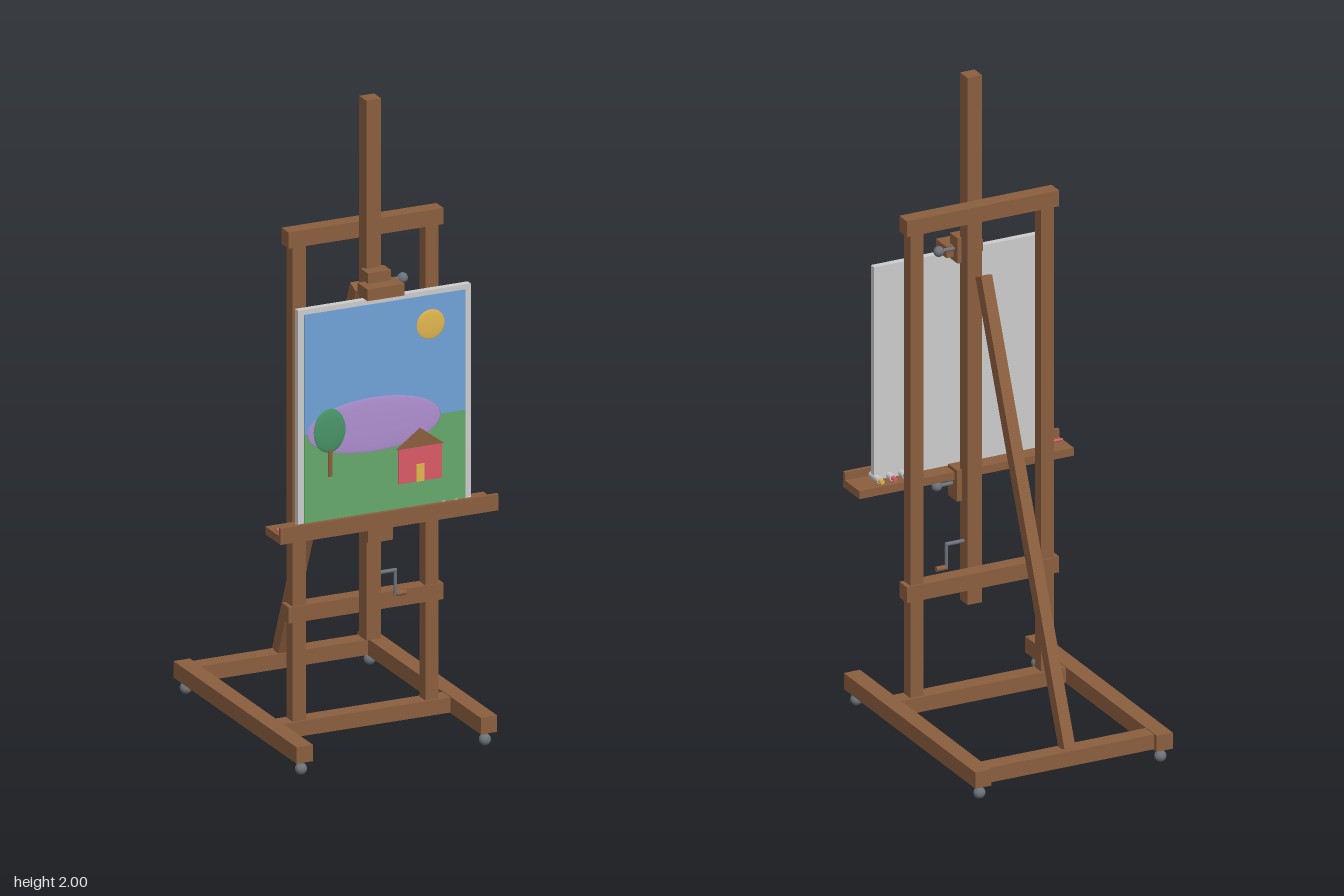
import * as THREE from 'three';

const mat = (color) => new THREE.MeshStandardMaterial({ color });
const wood = mat(0x8b5e3f), metal = mat(0x6c7179), grey = mat(0xcccccc);
const sky = mat(0x70a2d8), grass = mat(0x66a86c), purple = mat(0xae8fd0), leaf = mat(0x489468);
const yellow = mat(0xe0b64f), red = mat(0xd95b66), blue = mat(0x4a90d0);

export function createModel() {
  const model = new THREE.Group();

  const add = (name, geometry, material, x = 0, y = 0, z = 0) => {
    const mesh = new THREE.Mesh(geometry, material);
    mesh.name = name;
    mesh.position.set(x, y, z);
    model.add(mesh);
    return mesh;
  };
  // Box given by its lower and upper limits on each axis
  const box = (name, material, x0, x1, y0, y1, z0, z1) =>
    add(name, new THREE.BoxGeometry(x1 - x0, y1 - y0, z1 - z0), material,
      (x0 + x1) / 2, (y0 + y1) / 2, (z0 + z1) / 2);
  // Round rod between two points
  const rod = (name, material, a, b, r0, r1 = r0) => {
    const p = new THREE.Vector3(...a), q = new THREE.Vector3(...b);
    const mesh = add(name, new THREE.CylinderGeometry(r1, r0, p.distanceTo(q), 16), material);
    mesh.position.copy(p).lerp(q, 0.5);
    mesh.quaternion.setFromUnitVectors(new THREE.Vector3(0, 1, 0), q.sub(p).normalize());
    return mesh;
  };
  const ball = (name, material, r, x, y, z) =>
    add(name, new THREE.SphereGeometry(r, 24, 16), material, x, y, z);

  // Base frame, casters and uprights
  for (const s of [-1, 1]) {
    const side = s > 0 ? 'left' : 'right';
    const span = (a, b) => (s > 0 ? [a, b] : [-b, -a]);
    box(side + 'BaseRail', wood, ...span(0.271, 0.324), 0.045, 0.096, -0.417, 0.417);
    box(side + 'Upright', wood, ...span(0.193, 0.236), 0.09, 1.565, 0.165, 0.205);
    for (const z of [-0.39, 0.39]) {
      ball('caster', metal, 0.018, s * 0.297, 0.018, z);
      rod('casterStem', metal, [s * 0.297, 0.018, z], [s * 0.297, 0.05, z], 0.007);
    }
  }
  box('rearBaseRail', wood, -0.272, 0.272, 0.047, 0.094, -0.4, -0.346);
  box('frontBaseRail', wood, -0.272, 0.272, 0.047, 0.094, 0.158, 0.211);
  box('topCrossbar', wood, -0.25, 0.25, 1.56, 1.61, 0.16, 0.208);
  box('middleCrossbar', wood, -0.25, 0.25, 0.4, 0.45, 0.16, 0.208);

  // Sliding mast and rear strut
  box('mast', wood, -0.024, 0.024, 0.33, 2, 0.212, 0.26);
  const strut = add('rearStrut', new THREE.BoxGeometry(0.036, 1.4, 0.04), wood, 0, 0.742, -0.108);
  strut.rotation.x = Math.atan2(0.525, 1.29);

  // Tray with lip and bracket
  box('tray', wood, -0.352, 0.352, 0.71, 0.735, 0.264, 0.367);
  box('trayLip', wood, -0.352, 0.352, 0.73, 0.76, 0.355, 0.367);
  box('trayBracket', wood, -0.04, 0.04, 0.647, 0.745, 0.248, 0.305);

  // Top clamp
  box('clampBlock', wood, -0.037, 0.037, 1.4, 1.48, 0.25, 0.299);
  box('clampJaw', wood, -0.06, 0.06, 1.412, 1.448, 0.276, 0.344);

  // Locking knobs
  for (const [y, x, z] of [[1.44, 0.087, 0.273], [0.695, 0.091, 0.278]]) {
    rod('knobShaft', metal, [0.03, y, z], [x, y, z], 0.006);
    ball('knob', metal, 0.016, x, y, z);
  }

  // Winding crank
  rod('crankShaft', metal, [0.02, 0.525, 0.236], [0.083, 0.525, 0.236], 0.006);
  rod('crankArm', metal, [0.081, 0.529, 0.236], [0.081, 0.447, 0.236], 0.005);
  rod('crankHandle', wood, [0.083, 0.452, 0.236], [0.115, 0.452, 0.236], 0.008);

  // Canvas and painted panels
  box('canvas', grey, -0.279, 0.279, 0.737, 1.412, 0.312, 0.333);
  box('paintedSky', sky, -0.26, 0.26, 1.025, 1.397, 0.33, 0.335);
  box('paintedGrass', grass, -0.26, 0.26, 0.752, 1.025, 0.33, 0.335);

  // Raised picture shapes
  const dome = (name, material, x, y, rx, ry, depth) =>
    ball(name, material, 1, x, y, 0.3345).scale.set(rx, ry, depth);
  dome('paintedHill', purple, -0.035, 1.025, 0.22, 0.085, 0.004);
  dome('paintedSun', yellow, 0.148, 1.307, 0.046, 0.046, 0.004);
  dome('paintedFoliage', leaf, -0.177, 1.027, 0.055, 0.068, 0.008);
  box('paintedTrunk', wood, -0.184, -0.171, 0.885, 0.97, 0.333, 0.338);
  box('paintedHouse', red, 0.043, 0.182, 0.828, 0.936, 0.333, 0.339);
  box('paintedDoor', yellow, 0.099, 0.125, 0.828, 0.882, 0.333, 0.341);
  const roof = new THREE.Shape([[0.036, 0.935], [0.189, 0.935], [0.112, 0.993]]
    .map((p) => new THREE.Vector2(...p)));
  add('paintedRoof', new THREE.ExtrudeGeometry(roof, { depth: 0.007, bevelEnabled: false }),
    wood, 0, 0, 0.333);

  // Paint tubes and brush lying on the tray
  [[0.19, blue], [0.23, red], [0.272, yellow]].forEach(([x, colour]) => {
    rod('paintTube', grey, [x, 0.745, 0.342], [x, 0.745, 0.287], 0.01);
    rod('tubeCap', colour, [x, 0.745, 0.287], [x, 0.745, 0.271], 0.007);
  });
  rod('brushHandle', red, [-0.345, 0.741, 0.323], [-0.2, 0.741, 0.323], 0.004, 0.006);

  return model;
}
